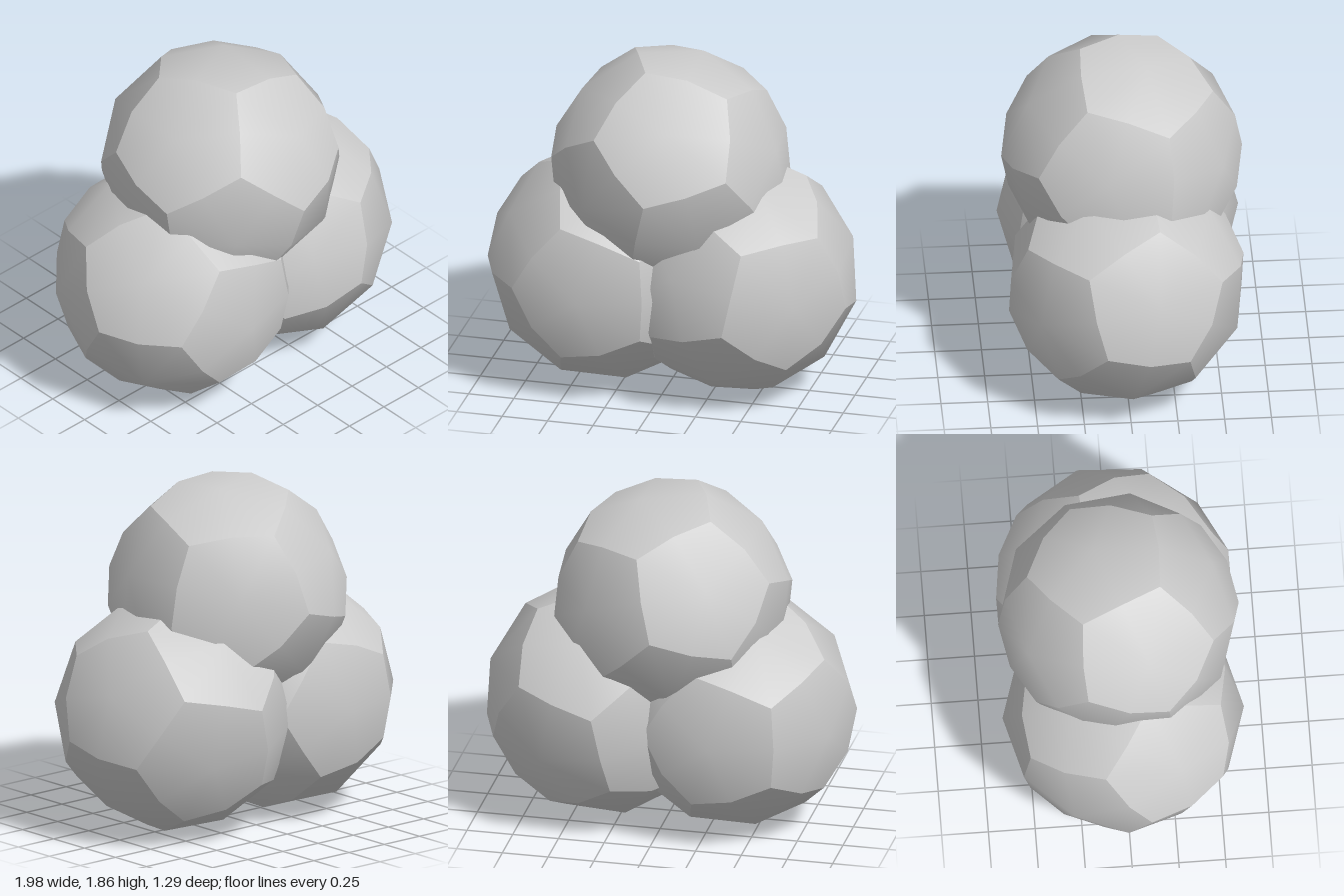
import * as THREE from 'three';

const PHI = (1 + Math.sqrt(5)) / 2;
const RADIUS = 0.645;
const vec = (x, y, z) => new THREE.Vector3(x, y, z);

// Corners and face directions of a dodecahedron
const corners = [];
const faceDirs = [];
for (const a of [-1, 1]) for (const b of [-1, 1]) {
  corners.push(vec(1, a, b), vec(-1, a, b));
  corners.push(vec(0, a / PHI, b * PHI), vec(b * PHI, 0, a / PHI), vec(a / PHI, b * PHI, 0));
  faceDirs.push(vec(0, a * PHI, b), vec(b, 0, a * PHI), vec(a * PHI, b, 0));
}

// Dodecahedron blown up to a sphere: each pentagon is a domed fan of ten
// triangles, smooth inside and creased along its border
function inflatedDodecahedron(radius) {
  const positions = [];
  const indices = [];
  for (const dir of faceDirs) {
    const n = dir.clone().normalize();
    const ring = corners.filter((c) => c.dot(dir) > 2.5);
    const u = ring[0].clone().projectOnPlane(n).normalize();
    const v = n.clone().cross(u);
    const angle = (p) => Math.atan2(p.dot(v), p.dot(u));
    ring.sort((p, q) => angle(p) - angle(q));
    const points = [n];
    ring.forEach((p, i) => points.push(p, p.clone().add(ring[(i + 1) % 5])));
    const base = positions.length / 3;
    for (const p of points) positions.push(...p.clone().setLength(radius).toArray());
    for (let i = 0; i < 10; i++) indices.push(base, base + 1 + i, base + 1 + (i + 1) % 10);
  }
  const geometry = new THREE.BufferGeometry();
  geometry.setAttribute('position', new THREE.Float32BufferAttribute(positions, 3));
  geometry.setIndex(indices);
  geometry.computeVertexNormals();
  return geometry;
}

// Rotation frame from one corner and the corner next to it
function frame(corner, next) {
  const x = corner.clone().normalize();
  const z = x.clone().cross(next).normalize();
  return new THREE.Matrix4().makeBasis(x, z.clone().cross(x), z);
}

export function createModel() {
  const group = new THREE.Group();
  group.name = 'ballStack';
  const material = new THREE.MeshStandardMaterial({ color: 0xcccccc });
  const geometry = inflatedDodecahedron(RADIUS);
  const standard = frame(vec(1, 1, 1), vec(0, 1 / PHI, PHI)).invert();

  // Two balls side by side with a third resting on them, each turned differently:
  // name, centre, direction of one corner, direction of its neighbour
  const balls = [
    ['rightBall', vec(-0.36, 0.645, 0), vec(-0.13, -0.375, 0.508), vec(0.315, -0.228, 0.515)],
    ['leftBall', vec(0.36, 0.645, 0), vec(0.36, -0.37, 0.386), vec(0.617, -0.105, 0.155)],
    ['topBall', vec(-0.015, 1.24, 0), vec(0.015, 0, 0.645), vec(0.425, 0.12, 0.47)],
  ];
  for (const [name, centre, corner, next] of balls) {
    const ball = new THREE.Mesh(geometry, material);
    ball.name = name;
    ball.quaternion.setFromRotationMatrix(frame(corner, next).multiply(standard));
    ball.position.copy(centre);
    group.add(ball);
  }
  return group;
}
